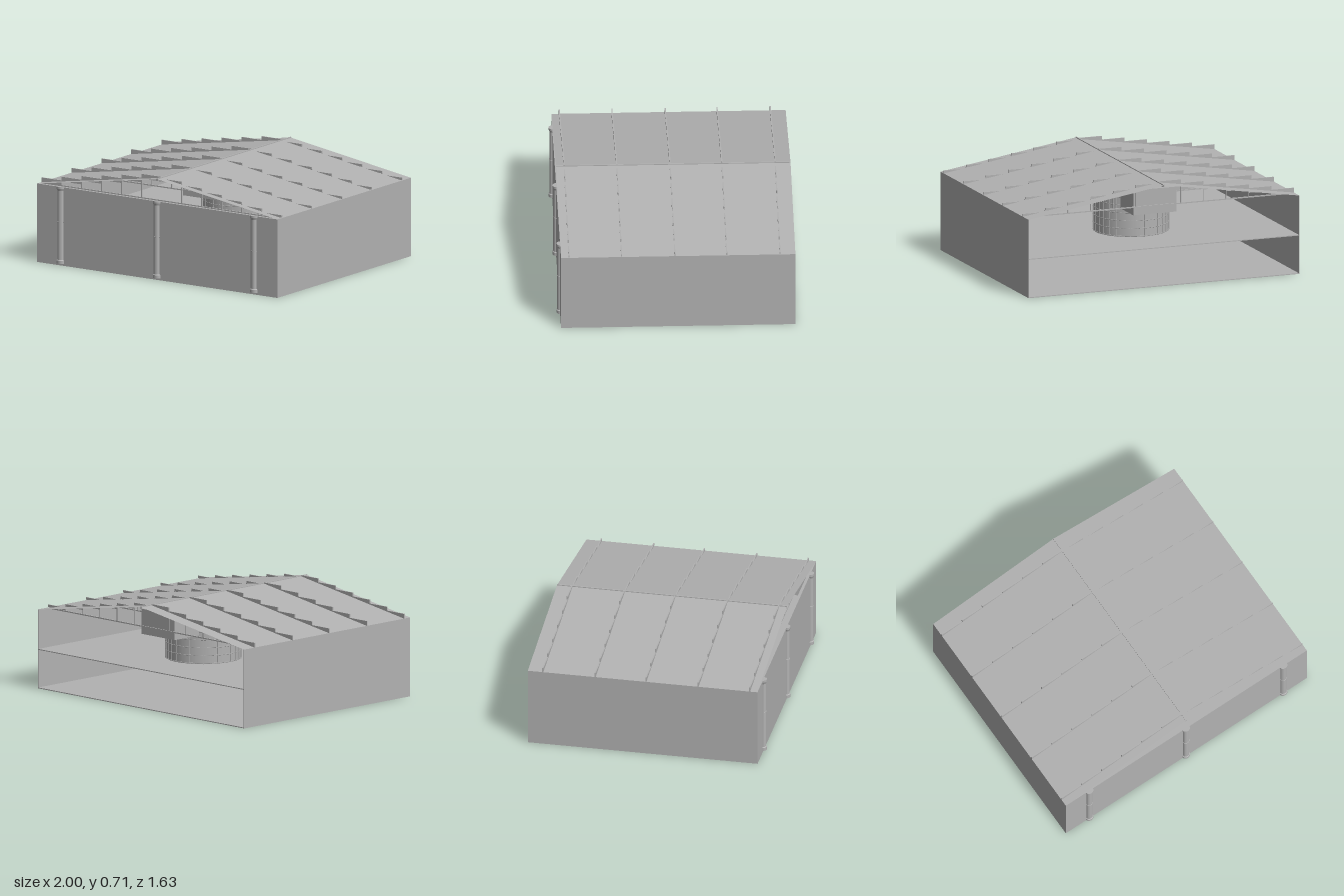
import * as THREE from 'three';

const BACK = -0.815, FRONT = 0.79, EAVE = 0.55, RIDGE = 0.706, MID = 0.275;

export function createModel() {
  const model = new THREE.Group();
  model.name = 'hall';
  const concrete = new THREE.MeshStandardMaterial({ color: 0xb2b2b2, side: THREE.DoubleSide });
  concrete.name = 'plain grey';

  const add = (name, geometry, parent = model) => {
    const mesh = new THREE.Mesh(geometry, concrete);
    mesh.name = name;
    parent.add(mesh);
    return mesh;
  };
  // box given by its limits on each axis
  const box = (name, x0, x1, y0, y1, z0, z1, parent) =>
    add(name, new THREE.BoxGeometry(x1 - x0, y1 - y0, z1 - z0), parent)
      .position.set((x0 + x1) / 2, (y0 + y1) / 2, (z0 + z1) / 2);

  // shell, open at the back
  box('groundFloor', -1, 1, 0, 0.006, BACK, FRONT);
  box('upperFloor', -0.995, 0.995, MID - 0.006, MID, BACK, FRONT - 0.02);
  box('frontWall', -1, 1, 0, EAVE, FRONT - 0.02, FRONT);
  for (const s of [-1, 1]) {
    const x = s * 0.9975;
    box(s > 0 ? 'leftWall' : 'rightWall', x - 0.0025, x + 0.0025, 0, EAVE, BACK, FRONT);
  }

  // two thin sloping roof sheets and the ridge strip
  for (const s of [-1, 1]) {
    const run = s > 0
      ? [[0, RIDGE], [1, EAVE]]
      : [[-1, EAVE], [0, RIDGE]];
    const [[xa, ya], [xb, yb]] = run;
    const g = new THREE.BufferGeometry();
    g.setAttribute('position', new THREE.Float32BufferAttribute([
      xa, ya, FRONT, xb, yb, FRONT, xb, yb, BACK, xa, ya, BACK,
    ], 3));
    g.setIndex([0, 1, 2, 0, 2, 3]);
    g.computeVertexNormals();
    add(s > 0 ? 'roofLeft' : 'roofRight', g);
  }
  box('ridgeStrip', -0.005, 0.005, RIDGE - 0.012, RIDGE + 0.005, BACK, FRONT);

  // stepped roof frames: beams, slender posts and a bottom chord
  const step = 1 / 6, rise = (RIDGE - EAVE) / 6;
  for (const z of [-0.71, -0.345, 0.01, 0.375, 0.735]) {
    const frame = new THREE.Group();
    frame.name = 'roofFrame';
    model.add(frame);
    const z0 = z - 0.004, z1 = z + 0.004;
    box('bottomChord', -0.995, 0.995, EAVE - 0.008, EAVE, z0, z1, frame);
    for (let i = 0; i < 6; i++) {
      const x = 1 - i * step;
      const y = EAVE + i * rise;
      box('deepBeam', -x, -x + step, y, y + 0.033, z0, z1, frame);
      box('shallowBeam', x - step, x, y + 0.003, y + 0.02, z0, z1, frame);
      if (i > 0) {
        for (const s of [-1, 1]) {
          box('framePost', s * x - 0.003, s * x + 0.003, EAVE, y + 0.005, z0, z1, frame);
        }
      }
    }
  }

  // half-round columns on the front wall
  const profile = [
    [0, 0.015], [0.029, 0.015], [0.029, 0.037], [0.023, 0.042],
    [0.023, 0.302], [0.025, 0.303], [0.025, 0.308], [0.023, 0.309],
    [0.023, 0.525], [0.029, 0.54], [0.029, 0.555], [0, 0.555],
  ].map(([r, y]) => new THREE.Vector2(r, y));
  for (const x of [-0.805, -0.003, 0.805]) {
    const g = new THREE.LatheGeometry(profile, 12, -Math.PI / 2, Math.PI).toNonIndexed();
    g.computeVertexNormals();
    const column = add('frontColumn', g);
    column.position.set(x, 0, FRONT);
    column.scale.z = 0.86;
  }

  // round drum on the upper floor with ribs and hoops
  const drum = new THREE.Group();
  drum.name = 'drum';
  drum.position.set(0, 0, -0.21);
  model.add(drum);
  const drumWall = new THREE.CylinderGeometry(0.26, 0.26, 0.34, 32);
  add('drumWall', drumWall, drum).position.y = MID + 0.17;
  for (let i = 0; i < 32; i++) {
    const a = (i / 32) * Math.PI * 2;
    const rib = add('drumRib', new THREE.BoxGeometry(0.005, 0.34, 0.005), drum);
    rib.position.set(Math.sin(a) * 0.261, MID + 0.17, Math.cos(a) * 0.261);
    rib.rotation.y = a;
  }
  for (const y of [0.28, 0.335, 0.39, 0.445, 0.5, 0.555, 0.61]) {
    const hoop = add('drumHoop', new THREE.TorusGeometry(0.261, 0.003, 4, 32), drum);
    hoop.rotation.x = Math.PI / 2;
    hoop.position.y = y;
  }

  // raised box across the drum
  box('raisedBox', -0.16, 0.16, 0.475, 0.65, -0.65, 0.25);

  return model;
}
